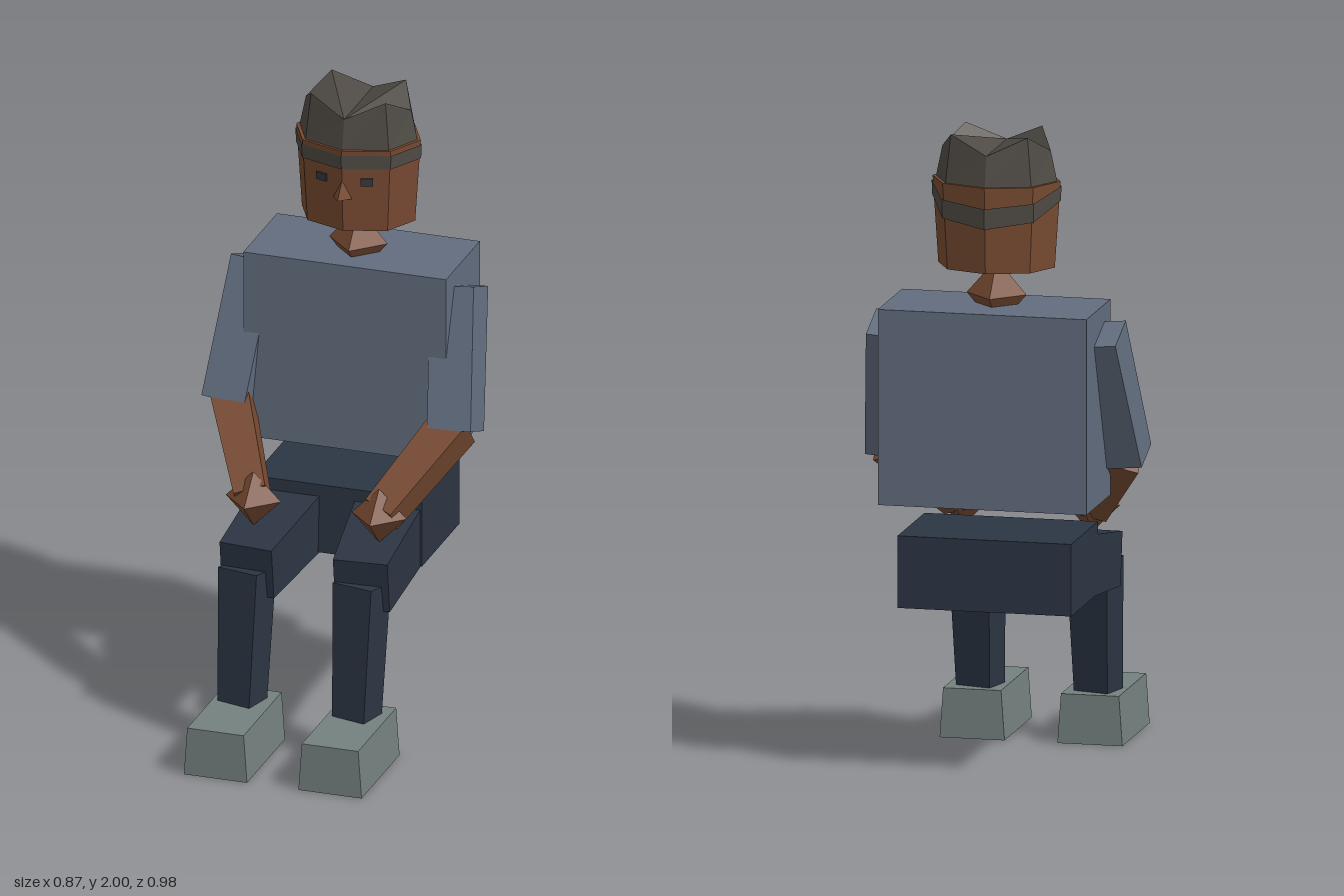
import * as THREE from 'three';
import { ConvexGeometry } from 'three/addons/geometries/ConvexGeometry.js';

const mat = (name, color, side = THREE.FrontSide) => {
  const m = new THREE.MeshStandardMaterial({ color, flatShading: true, side });
  m.name = name;
  return m;
};

export function createModel() {
  const shirt = mat('shirt', 0x626d7e);
  const trousers = mat('trousers', 0x2c3543);
  const skin = mat('skin', 0x774a31);
  const hairMat = mat('hair', 0x4f4a44, THREE.DoubleSide);
  const shoe = mat('shoe', 0x74817f);
  const eyeMat = mat('eye', 0x33383c);

  const model = new THREE.Group();
  model.name = 'seatedFigure';
  const add = (name, geometry, material, x = 0, y = 0, z = 0) => {
    const m = new THREE.Mesh(geometry, material);
    m.name = name;
    m.position.set(x, y, z);
    model.add(m);
    return m;
  };

  // Box whose top and bottom ends have their own [width, depth]
  const taperedBox = (h, top, bottom) => {
    const g = new THREE.BoxGeometry(1, h, 1);
    const p = g.attributes.position;
    for (let i = 0; i < p.count; i++) {
      const s = p.getY(i) > 0 ? top : bottom;
      p.setX(i, p.getX(i) * s[0]);
      p.setZ(i, p.getZ(i) * s[1]);
    }
    g.computeVertexNormals();
    return g;
  };

  // Tapered box running from point a to point b
  const limb = (name, material, a, b, sizeA, sizeB, twist = 0) => {
    const A = new THREE.Vector3(...a), B = new THREE.Vector3(...b);
    const Y = A.clone().sub(B), h = Y.length();
    Y.normalize();
    const X = new THREE.Vector3(1, 0, 0);
    X.addScaledVector(Y, -X.dot(Y)).normalize();
    const Z = new THREE.Vector3().crossVectors(X, Y);
    const g = taperedBox(h, sizeA, sizeB).rotateY(twist);
    g.applyMatrix4(new THREE.Matrix4().makeBasis(X, Y, Z));
    const c = A.add(B).multiplyScalar(0.5);
    return add(name, g, material, c.x, c.y, c.z);
  };

  // Trunk
  add('torso', new THREE.BoxGeometry(0.655, 0.61, 0.315), shirt, 0.003, 1.155, -0.332);
  add('pelvis', new THREE.BoxGeometry(0.545, 0.225, 0.35), trousers, 0.003, 0.638, -0.285);
  add('neck', new THREE.OctahedronGeometry(0.094), skin, 0, 1.49, -0.312).scale.y = 1.15;

  // Arms and legs
  for (const s of [-1, 1]) {
    const side = s > 0 ? 'left' : 'right';
    limb(side + 'UpperArm', shirt, [s * 0.322, 1.38, -0.32], [s * 0.365, 0.968, -0.162],
      [0.14, 0.146], [0.14, 0.134]);
    limb(side + 'Forearm', skin, [s * 0.362, 0.985, -0.175], [s * 0.208, 0.765, 0.075],
      [0.12, 0.115], [0.1, 0.1]);
    add(side + 'Hand', new THREE.OctahedronGeometry(0.089), skin, s * 0.203, 0.763, 0.082);
    limb(side + 'Thigh', trousers, [s * 0.158, 0.628, -0.2], [s * 0.185, 0.573, 0.197],
      [0.22, 0.195], [0.172, 0.168]);
    // Both shins share the same slight turn
    const x = s > 0 ? 0.18 : -0.19;
    limb(side + 'Shin', trousers, [x, 0.575, 0.178], [x, 0.14, 0.225],
      [0.14, 0.11], [0.115, 0.1], -0.25);
    add(side + 'Shoe', taperedBox(0.155, [0.182, 0.355], [0.204, 0.355]), shoe,
      s * 0.185, 0.0775, 0.312);
  }

  // Head: eight-sided, narrower at the chin
  const headZ = -0.313, squash = 0.8;
  const head = new THREE.CylinderGeometry(0.201, 0.183, 0.27, 8).scale(1, 1, squash);
  add('head', head, skin, 0, 1.715, headZ);

  // Face
  add('nose', new ConvexGeometry([[-0.03, 1.69, -0.165], [0.03, 1.69, -0.165],
    [0, 1.75, -0.158], [0, 1.698, -0.116]].map((v) => new THREE.Vector3(...v))), skin);
  for (const s of [-1, 1]) {
    const eye = add(s > 0 ? 'leftEye' : 'rightEye', new THREE.BoxGeometry(0.038, 0.024, 0.008),
      eyeMat, s * 0.073, 1.746, -0.179);
    eye.rotation.y = s * 0.32;
  }

  // Hair band sloping down towards the back of the head
  const band = new THREE.CylinderGeometry(0.204, 0.202, 1, 8, 1, true).scale(1, 1, squash);
  const bp = band.attributes.position;
  for (let i = 0; i < bp.count; i++) {
    const back = Math.max(0, -bp.getZ(i) / 0.163);
    bp.setY(i, bp.getY(i) > 0 ? 1.835 - 0.05 * back : 1.79 - 0.07 * back);
  }
  band.computeVertexNormals();
  add('hairBand', band, hairMat, 0, 0, headZ);

  // Hair: a rim of alternating peaks and dips, filled by a fan from the front dip
  const ring = (r, y0, y1) => Array.from({ length: 8 }, (_, i) => {
    const a = (i * Math.PI) / 4;
    return [r * Math.sin(a), i % 2 ? y1 : y0, headZ + r * squash * Math.cos(a)];
  });
  const base = ring(0.19, 1.85, 1.85), rim = ring(0.17, 1.945, 2.0);
  const tri = [];
  for (let i = 0; i < 8; i++) {
    const j = (i + 1) % 8;
    tri.push(base[i], base[j], rim[j], base[i], rim[j], rim[i]);
    if (i > 0 && i < 7) tri.push(rim[0], rim[i], rim[i + 1]);
  }
  const hair = new THREE.BufferGeometry();
  hair.setAttribute('position', new THREE.Float32BufferAttribute(tri.flat(), 3));
  hair.computeVertexNormals();
  add('hair', hair, hairMat);

  return model;
}
